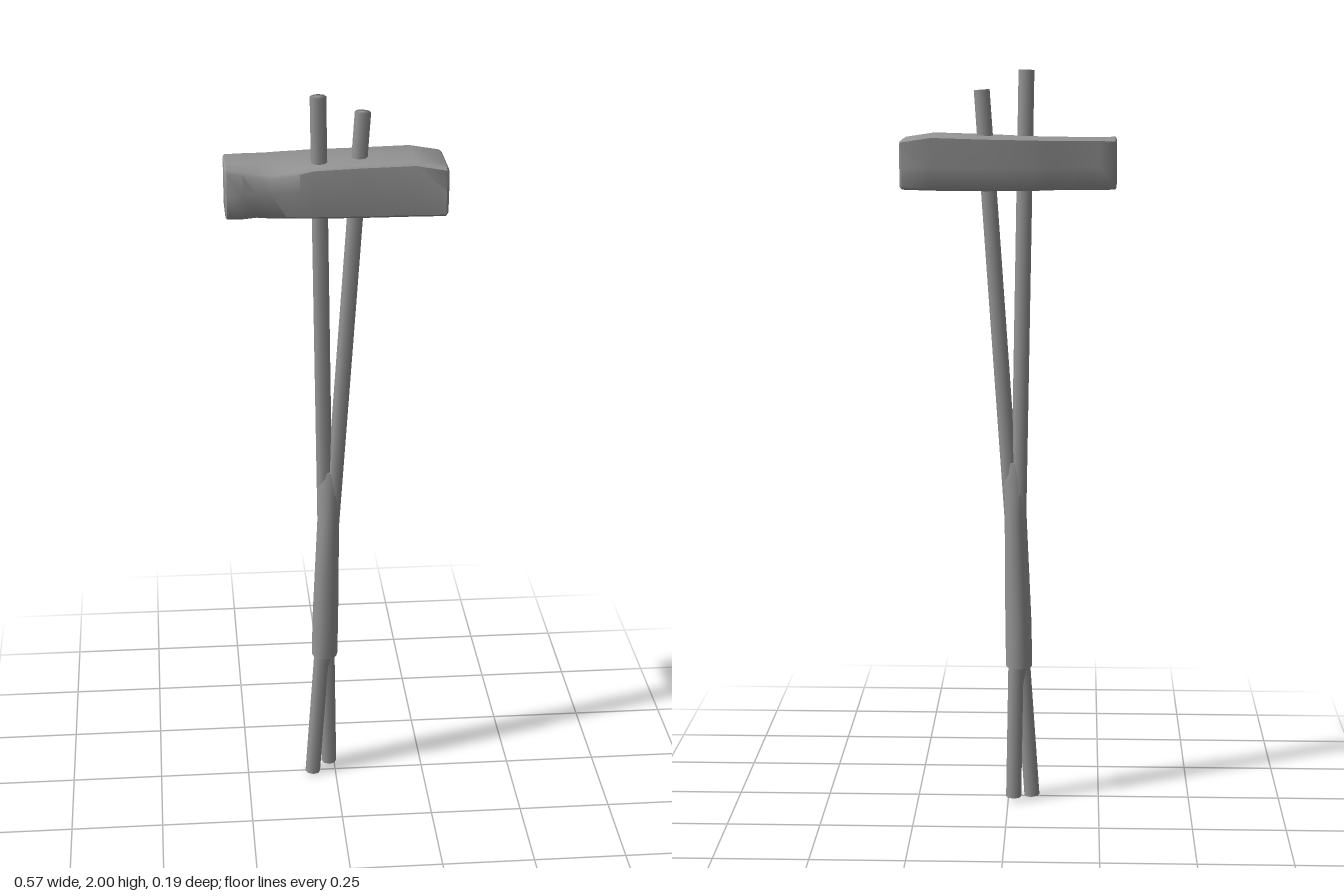
import * as THREE from 'three';
import { toCreasedNormals } from 'three/addons/utils/BufferGeometryUtils.js';

const material = new THREE.MeshStandardMaterial({ color: 0x949494 });

// Skin a list of closed rings and cap both ends
function loft(rings, crease) {
  const n = rings[0].length, pos = [], idx = [];
  rings.forEach(r => r.forEach(p => pos.push(...p)));
  for (let i = 0; i < rings.length - 1; i++) {
    for (let j = 0; j < n; j++) {
      const a = i * n + j, b = i * n + (j + 1) % n;
      idx.push(a, a + n, b, b, a + n, b + n);
    }
  }
  [0, rings.length - 1].forEach(i => {
    const c = pos.length / 3;
    for (let k = 0; k < 3; k++) pos.push(rings[i].reduce((s, p) => s + p[k], 0) / n);
    for (let j = 0; j < n; j++) {
      const a = i * n + j, b = i * n + (j + 1) % n;
      if (i === 0) idx.push(c, a, b); else idx.push(c, b, a);
    }
  });
  const g = new THREE.BufferGeometry();
  g.setAttribute('position', new THREE.Float32BufferAttribute(pos, 3));
  g.setIndex(idx);
  return toCreasedNormals(g, crease);
}

function addMesh(group, name, geometry) {
  const mesh = new THREE.Mesh(geometry, material);
  mesh.name = name;
  group.add(mesh);
  return mesh;
}

// Straight eight-sided stick, shaded smoothly over its ends
function addStick(group, name, from, to) {
  const a = new THREE.Vector3(...from), b = new THREE.Vector3(...to);
  const dir = b.clone().sub(a), h = dir.length(), r = 0.021;
  const profile = [[0, 0], [r, 0.001], [r, h - 0.001], [0, h]]
    .map(p => new THREE.Vector2(...p));
  const stick = addMesh(group, name, new THREE.LatheGeometry(profile, 8));
  stick.position.copy(a);
  stick.quaternion.setFromUnitVectors(new THREE.Vector3(0, 1, 0), dir.normalize());
}

// Upright oval tube from rows of: y, centre x, centre z, radius x, radius z
function ovalTube(rows) {
  return loft(rows.map(([y, cx, cz, rx, rz]) => Array.from({ length: 12 }, (_, j) => {
    const t = j / 12 * Math.PI * 2;
    return [cx + rx * Math.cos(t), y, cz + rz * Math.sin(t)];
  })), 0.9);
}

const sleeveRows = [
  [0.38, -0.029, -0.008, 0.036, 0.038],
  [0.5, -0.027, -0.004, 0.036, 0.036],
  [0.65, -0.023, -0.001, 0.033, 0.034],
  [0.8, -0.019, 0.001, 0.03, 0.034],
  [0.9, -0.017, 0, 0.032, 0.025],
  [0.95, -0.016, 0, 0.026, 0.018],
];

// Wedge of binding that fills the fork below the sleeve
const wedgeRows = [
  [0.29, -0.031, -0.013, 0.005, 0.006],
  [0.34, -0.03, -0.011, 0.014, 0.015],
  [0.39, -0.029, -0.009, 0.026, 0.026],
];

// Stone head: x, back z, front z, bottom y, top y, top dent, bottom chip
function headGeometry() {
  const rows = [
    [-0.285, -0.076, 0.075, 1.697, 1.82, 0, 0],
    [-0.281, -0.079, 0.079, 1.692, 1.824, 0, 0],
    [-0.24, -0.08, 0.08, 1.691, 1.825, 0.007, 0.004],
    [-0.205, -0.081, 0.08, 1.691, 1.825, 0.017, 0.014],
    [-0.17, -0.084, 0.079, 1.691, 1.825, 0.022, 0.004],
    [-0.13, -0.088, 0.079, 1.691, 1.826, 0.018, 0],
    [-0.095, -0.092, 0.08, 1.69, 1.826, 0.01, 0],
    [-0.06, -0.095, 0.08, 1.689, 1.827, 0.003, 0],
    [0.06, -0.094, 0.081, 1.688, 1.829, 0, 0],
    [0.2, -0.092, 0.084, 1.689, 1.833, 0, 0],
    [0.278, -0.086, 0.092, 1.691, 1.821, 0, 0],
    [0.284, -0.081, 0.087, 1.697, 1.815, 0, 0],
  ];
  return loft(rows.map(([x, zb, zf, y0, y1, dent, chip]) => [
    [x, y0, zf - 0.014 - chip],
    [x, y0 + 0.006 + chip, zf - 0.007],
    [x, y0 + 0.07, zf],
    [x, y1 - 0.007 - dent, zf - 0.004 - dent * 0.2],
    [x, y1 - dent, zf - 0.012 - dent * 0.2],
    [x, y1 - dent * 0.6, 0.04],
    [x, y1, 0.01],
    [x, y1, zb + 0.008],
    [x, y1 - 0.006, zb],
    [x, y0 + 0.06, zb + 0.006],
    [x, y0 + 0.006, zb + 0.012],
    [x, y0, zb + 0.018],
  ]), 0.75);
}

export function createModel() {
  const group = new THREE.Group();
  group.name = 'primitiveHammer';
  addStick(group, 'frontStick', [-0.015, 0.01, -0.034], [-0.046, 2, 0.034]);
  addStick(group, 'backStick', [-0.065, 0.002, 0.005], [0.071, 1.949, 0]);
  addMesh(group, 'bindingSleeve', ovalTube(sleeveRows));
  addMesh(group, 'bindingWedge', ovalTube(wedgeRows));
  addMesh(group, 'stoneHead', headGeometry());
  return group;
}
